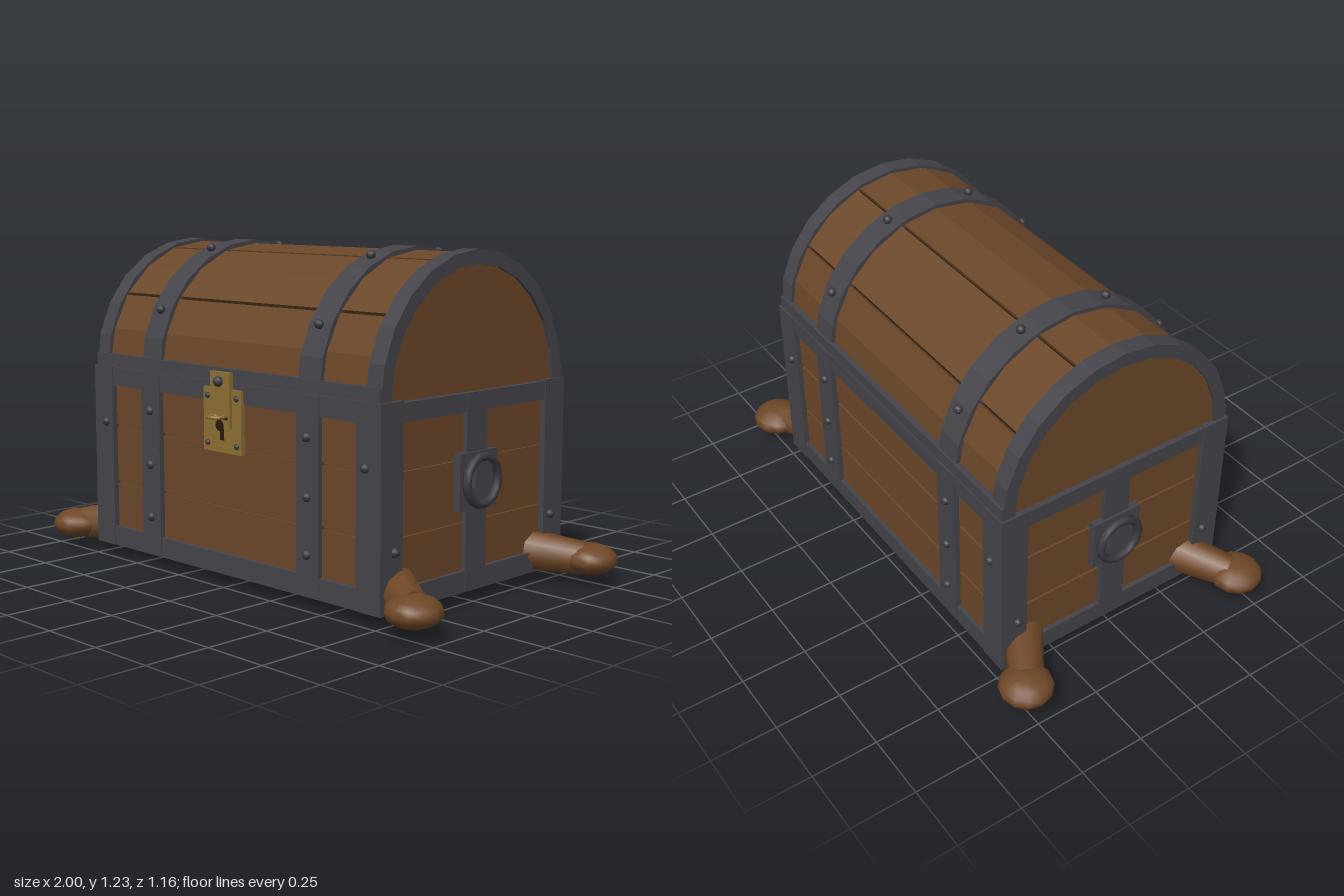
import * as THREE from 'three';

const mat = (name, color, flat = false) => {
  const m = new THREE.MeshStandardMaterial({ color, flatShading: flat });
  m.name = name;
  return m;
};

export function createModel() {
  const wood = mat('wood', 0x6b4729, true);
  const dark = mat('dark gap', 0x2a1a0e, true);
  const iron = mat('iron', 0x45444a, true);
  const rivetIron = mat('rivet iron', 0x3a3a40);
  const brass = mat('brass', 0x8c7032, true);
  const skin = mat('leg brown', 0x6f4727);

  const root = new THREE.Group();
  root.name = 'chest';

  const add = (name, geo, material, x = 0, y = 0, z = 0) => {
    const m = new THREE.Mesh(geo, material);
    m.name = name;
    m.position.set(x, y, z);
    root.add(m);
    return m;
  };
  // box given by its extents
  const box = (name, material, x0, x1, y0, y1, z0, z1) =>
    add(name, new THREE.BoxGeometry(x1 - x0, y1 - y0, z1 - z0), material,
      (x0 + x1) / 2, (y0 + y1) / 2, (z0 + z1) / 2);
  const rivet = (x, y, z, r = 0.017) =>
    add('rivet', new THREE.SphereGeometry(r, 10, 8), rivetIron, x, y, z);

  // curved slab around the lid axis, running along x; angles in degrees
  const LID_Y = 0.75;
  const arch = (name, material, rOut, rIn, x0, x1, a0, a1, segs) => {
    const pts = [];
    const ring = (r, i) => {
      const a = THREE.MathUtils.degToRad(a0 + (a1 - a0) * i / segs);
      pts.push(new THREE.Vector2(r * Math.cos(a), r * Math.sin(a)));
    };
    for (let i = 0; i <= segs; i++) ring(rOut, i);
    if (rIn > 0) for (let i = segs; i >= 0; i--) ring(rIn, i);
    const g = new THREE.ExtrudeGeometry(new THREE.Shape(pts), { depth: x1 - x0, bevelEnabled: false });
    g.rotateY(Math.PI / 2);
    return add(name, g, material, x0, LID_Y, 0);
  };

  // body core and horizontal planks
  box('bodyCore', wood, -0.73, 0.73, 0.06, 0.75, -0.46, 0.46);
  for (const [y0, y1] of [[0.07, 0.292], [0.304, 0.512], [0.526, 0.74]]) {
    box('bodyPlank', wood, -0.738, 0.738, y0, y1, -0.468, 0.468);
  }

  // lid: dark lining, five curved planks, end panels
  arch('lidLining', dark, 0.452, 0, -0.7, 0.7, 0, 180, 20);
  for (let i = 0; i < 5; i++) {
    arch('lidPlank', wood, 0.468, 0.44, -0.69, 0.69, i * 36 + 0.7, i * 36 + 35.3, 2);
  }
  for (const s of [-1, 1]) {
    arch('lidEndPanel', wood, 0.45, 0, s * 0.72 - 0.02, s * 0.72 + 0.02, 0, 180, 12);
    arch('lidEndBand', iron, 0.48, 0.43, s * 0.717 - 0.034, s * 0.717 + 0.034, 0, 180, 12);
    arch('lidStrap', iron, 0.482, 0.44, s * 0.42 - 0.053, s * 0.42 + 0.053, 0, 180, 12);
  }

  // iron frame on front and back
  for (const s of [-1, 1]) {
    const plate = (name, x0, x1, y0, y1, d = 0.485) =>
      box(name, iron, x0, x1, y0, y1, s > 0 ? 0.45 : -d, s > 0 ? d : -0.45);
    plate('bottomRail', -0.755, 0.755, 0.05, 0.125);
    plate('topRail', -0.755, 0.755, 0.68, 0.75);
    plate('lidRim', -0.75, 0.75, 0.752, 0.8, 0.483);
    for (const t of [-1, 1]) {
      plate('strap', t * 0.42 - 0.053, t * 0.42 + 0.053, 0.06, 0.75, 0.488);
      for (const y of [0.2, 0.4, 0.605]) rivet(t * 0.42, y, s * 0.489);
      rivet(t * 0.69, 0.535, s * 0.489);
      rivet(t * 0.42, 1.205, s * 0.178);
      rivet(t * 0.42, 0.982, s * 0.43);
    }
  }

  // iron frame on the ends, corner posts and ring handles
  for (const s of [-1, 1]) {
    const plate = (name, y0, y1, z0, z1, d) =>
      box(name, iron, s > 0 ? 0.72 : -d, s > 0 ? d : -0.72, y0, y1, z0, z1);
    plate('endBottomRail', 0.05, 0.125, -0.48, 0.48, 0.755);
    plate('endTopRail', 0.68, 0.745, -0.48, 0.48, 0.755);
    plate('endCentrePost', 0.06, 0.74, -0.054, 0.054, 0.757);
    plate('handlePlate', 0.34, 0.54, -0.1, 0.1, 0.766);
    for (const t of [-1, 1]) {
      box('cornerPost', iron, s * 0.705 - 0.055, s * 0.705 + 0.055, 0.05, 0.752,
        t * 0.435 - 0.054, t * 0.435 + 0.054);
      rivet(s * 0.76, 0.255, t * 0.42);
    }
    const ring = add('handleRing', new THREE.TorusGeometry(0.084, 0.016, 8, 14), rivetIron, s * 0.783, 0.44, 0);
    ring.rotation.y = Math.PI / 2;
    box('handleMount', iron, s * 0.775 - 0.014, s * 0.775 + 0.014, 0.42, 0.51, -0.045, 0.045);
  }

  // brass lock
  box('lockPlate', brass, -0.1, 0.1, 0.5, 0.73, 0.48, 0.497);
  box('lockHasp', brass, -0.052, 0.052, 0.59, 0.79, 0.49, 0.508);
  const staple = add('lockStaple', new THREE.TorusGeometry(0.03, 0.007, 8, 14), brass, 0, 0.632, 0.522);
  staple.rotation.x = Math.PI / 2;
  box('haspSlot', dark, -0.042, 0.042, 0.622, 0.631, 0.504, 0.511);
  box('keyholeSlot', dark, -0.01, 0.01, 0.545, 0.59, 0.492, 0.499);
  const keyhole = add('keyhole', new THREE.CylinderGeometry(0.02, 0.02, 0.008, 12), dark, 0, 0.6, 0.508);
  keyhole.rotation.x = Math.PI / 2;
  rivet(0, 0.757, 0.515, 0.019);
  for (const x of [-0.077, 0.077]) for (const y of [0.53, 0.7]) rivet(x, y, 0.497, 0.011);

  // four stubby legs: tapered limb, bent thigh under the body, rounded foot
  const limb = (name, a, b, ra, rb, sx, sz) => {
    const p = new THREE.Vector3(a[0] * sx, a[1], a[2] * sz);
    const q = new THREE.Vector3(b[0] * sx, b[1], b[2] * sz);
    const d = q.clone().sub(p);
    const m = add(name, new THREE.CylinderGeometry(rb, ra, d.length(), 9), skin);
    m.position.copy(p).addScaledVector(d, 0.5);
    m.quaternion.setFromUnitVectors(new THREE.Vector3(0, 1, 0), d.normalize());
  };
  for (const sx of [-1, 1]) for (const sz of [-1, 1]) {
    limb('shin', [0.67, 0.128, 0.34], [0.88, 0.1, 0.465], 0.08, 0.062, sx, sz);
    limb('thigh', [0.43, 0.1, 0.2], [0.54, 0.075, 0.27], 0.055, 0.07, sx, sz);
    limb('knee', [0.54, 0.075, 0.27], [0.68, 0.125, 0.345], 0.07, 0.075, sx, sz);
    const foot = add('foot', new THREE.SphereGeometry(0.1, 12, 8), skin, sx * 0.9, 0.1, sz * 0.482);
    foot.scale.y = 0.56;
  }
  return root;
}
